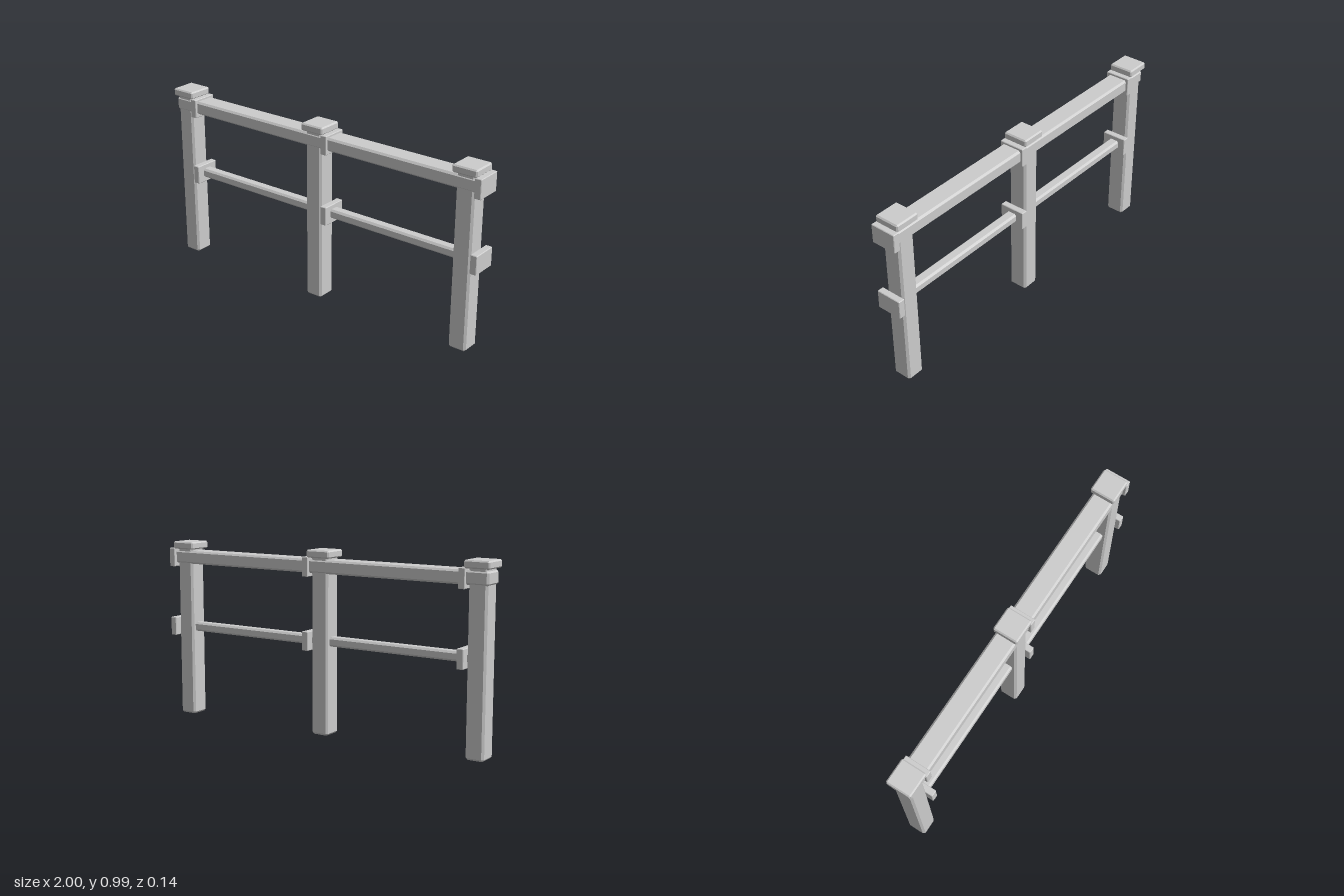
import * as THREE from 'three';
import { ConvexGeometry } from 'three/addons/geometries/ConvexGeometry.js';

// Box between two corners with every edge cut at 45 degrees by c
function chamferBox(x0, x1, y0, y1, z0, z1, c) {
  const half = [(x1 - x0) / 2, (y1 - y0) / 2, (z1 - z0) / 2];
  const points = [];
  for (const sx of [-1, 1]) for (const sy of [-1, 1]) for (const sz of [-1, 1]) {
    const s = [sx, sy, sz];
    for (let axis = 0; axis < 3; axis++) {
      // each corner becomes three points, one on each adjoining face
      const p = half.map((h, i) => s[i] * (i === axis ? h : h - c));
      points.push(new THREE.Vector3(...p));
    }
  }
  const geometry = new ConvexGeometry(points);
  geometry.translate((x0 + x1) / 2, (y0 + y1) / 2, (z0 + z1) / 2);
  return geometry;
}

export function createModel() {
  const model = new THREE.Group();
  model.name = 'fence';
  const grey = new THREE.MeshStandardMaterial({ color: 0xcccccc });
  grey.name = 'lightGrey';

  const add = (name, ...box) => {
    const mesh = new THREE.Mesh(chamferBox(...box), grey);
    mesh.name = name;
    model.add(mesh);
  };

  const posts = [-0.931, -0.015, 0.9];

  // Posts with caps, and the bracket plates on their left faces
  for (const x of posts) {
    add('post', x - 0.051, x + 0.05, 0, 0.96, -0.052, 0.054, 0.011);
    add('postCap', x - 0.069, x + 0.07, 0.947, 0.988, -0.07, 0.07, 0.007);
    add('upperBracket', x + 0.06, x + 0.097, 0.846, 0.95, -0.071, 0.072, 0.003);
    add('lowerBracket', x + 0.06, x + 0.097, 0.452, 0.555, -0.071, 0.072, 0.003);
  }

  // Wide top rail running over all posts
  add('topRail', -0.99, 0.965, 0.866, 0.938, -0.058, 0.058, 0.01);

  // Narrow lower rails between neighbouring posts
  for (let i = 0; i < posts.length - 1; i++) {
    add('lowerRail', posts[i], posts[i + 1], 0.481, 0.531, -0.03, 0.03, 0.01);
  }
  return model;
}
